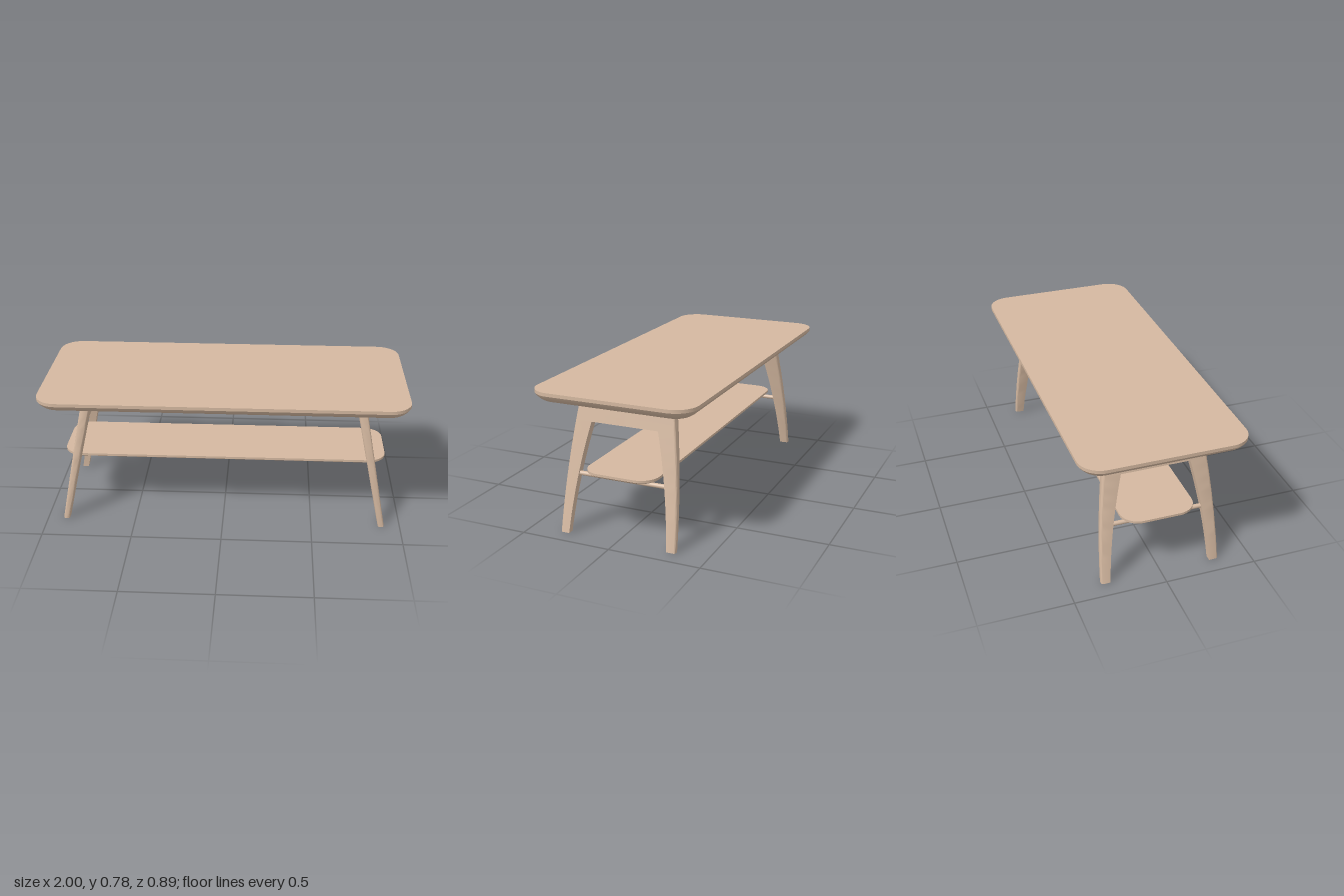
import * as THREE from 'three';
import { toCreasedNormals } from 'three/addons/utils/BufferGeometryUtils.js';

const wood = new THREE.MeshStandardMaterial({ color: 0xd4b8a0 });
wood.name = 'paleWood';

function meshOf(name, pos, crease) {
  const g = new THREE.BufferGeometry();
  g.setAttribute('position', new THREE.Float32BufferAttribute(pos, 3));
  const mesh = new THREE.Mesh(toCreasedNormals(g, crease), wood);
  mesh.name = name;
  return mesh;
}

// Rounded board with a flat top, short vertical edge and curved underside
function board(name, halfX, halfZ, radius, yTop, yEdge, yBottom, inset) {
  const steps = 10;
  const curve = new THREE.QuadraticBezierCurve(
    new THREE.Vector2(0, yEdge), new THREE.Vector2(inset / 3, yBottom), new THREE.Vector2(inset, yBottom));
  const profile = [new THREE.Vector2(0, yTop), ...curve.getPoints(10)];
  const rings = profile.map(p => {
    const ring = [], r = radius - p.x;
    for (let c = 0; c < 4; c++) {
      const sx = c === 0 || c === 3 ? 1 : -1, sz = c < 2 ? 1 : -1;
      for (let i = 0; i <= steps; i++) {
        const a = (c + i / steps) * Math.PI / 2;
        ring.push([sx * (halfX - radius) + r * Math.cos(a), p.y, sz * (halfZ - radius) + r * Math.sin(a)]);
      }
    }
    return ring;
  });
  const pos = [], tri = (a, b, c) => pos.push(...a, ...b, ...c);
  const n = rings[0].length, last = rings[rings.length - 1];
  for (let i = 0; i < n; i++) {
    const j = (i + 1) % n;
    for (let k = 0; k + 1 < rings.length; k++) {
      const A = rings[k], B = rings[k + 1];
      tri(A[i], A[j], B[i]);
      tri(A[j], B[j], B[i]);
    }
    tri([0, yTop, 0], rings[0][j], rings[0][i]);
    tri([0, yBottom, 0], last[i], last[j]);
  }
  return meshOf(name, pos, 0.5);
}

const TOP = 0.72, APRON = 0.59;
const lerp = THREE.MathUtils.lerp;
const frameX = y => lerp(0.895, 0.748, y / TOP);
// Curved leg edges, as z over height
const outerZ = y => 0.328 - 0.015 * (y / TOP) - 0.051 * (y / TOP) ** 2;
const innerZ = y => 0.278 - 0.035 * (y / APRON) - 0.056 * (y / APRON) ** 2;

// Splayed end frame: two curved legs joined by an apron, with rounded outer edges
function endFrame(side) {
  const pos = [];
  for (const s of [1, -1]) {
    const tri = (a, b, c) => {
      const t = s * side > 0 ? [a, b, c] : [a, c, b];
      t.forEach(([x, y, z]) => pos.push(side * x, y, s * z));
    };
    const quad = (a, b, c, d) => { tri(a, b, c); tri(a, c, d); };
    const section = (y, inner) => {
      const h = lerp(0.0175, 0.0265, y / TOP), r = 0.012, cx = frameX(y), oz = outerZ(y);
      const ring = [[cx + h, y, inner]];
      for (const c of [0, 1]) for (let i = 0; i <= 5; i++) {
        const a = (c + i / 5) * Math.PI / 2;
        ring.push([cx + (c ? -1 : 1) * (h - r) + r * Math.cos(a), y, oz - r + r * Math.sin(a)]);
      }
      ring.push([cx - h, y, inner]);
      return ring;
    };
    const loft = (A, B, closed) => {
      const n = A.length;
      for (let i = 0; i < (closed ? n : n - 1); i++) {
        const j = (i + 1) % n;
        quad(A[i], B[i], B[j], A[j]);
      }
    };
    const cap = (R, up) => {
      for (let i = 1; i + 1 < R.length; i++) up ? tri(R[0], R[i + 1], R[i]) : tri(R[0], R[i], R[i + 1]);
    };
    // Leg
    const rows = 16;
    for (let k = 0; k < rows; k++) {
      const y0 = APRON * k / rows, y1 = APRON * (k + 1) / rows;
      loft(section(y0, innerZ(y0)), section(y1, innerZ(y1)), true);
    }
    cap(section(0, innerZ(0)), false);
    // Half of the apron, with its underside
    const low = section(APRON, innerZ(APRON)), wide = section(APRON, 0), n = low.length;
    quad(low[n - 1], wide[n - 1], wide[0], low[0]);
    for (let k = 0; k < 4; k++) {
      loft(section(lerp(APRON, TOP, k / 4), 0), section(lerp(APRON, TOP, (k + 1) / 4), 0), false);
    }
    cap(section(TOP, 0), true);
  }
  return meshOf(side > 0 ? 'leftEndFrame' : 'rightEndFrame', pos, 0.5);
}

export function createModel() {
  const table = new THREE.Group();
  table.name = 'coffeeTable';
  table.add(board('tableTop', 1, 0.443, 0.12, 0.78, 0.762, 0.714, 0.09));
  table.add(board('shelf', 0.91, 0.2, 0.1, 0.357, 0.344, 0.326, 0.06));
  for (const side of [1, -1]) {
    table.add(endFrame(side));
    // Round rail carrying the shelf
    const rail = new THREE.Mesh(new THREE.CylinderGeometry(0.012, 0.012, 0.53, 20), wood);
    rail.name = side > 0 ? 'leftShelfRail' : 'rightShelfRail';
    rail.rotation.x = Math.PI / 2;
    rail.position.set(side * frameX(0.315), 0.315, 0);
    table.add(rail);
  }
  return table;
}
